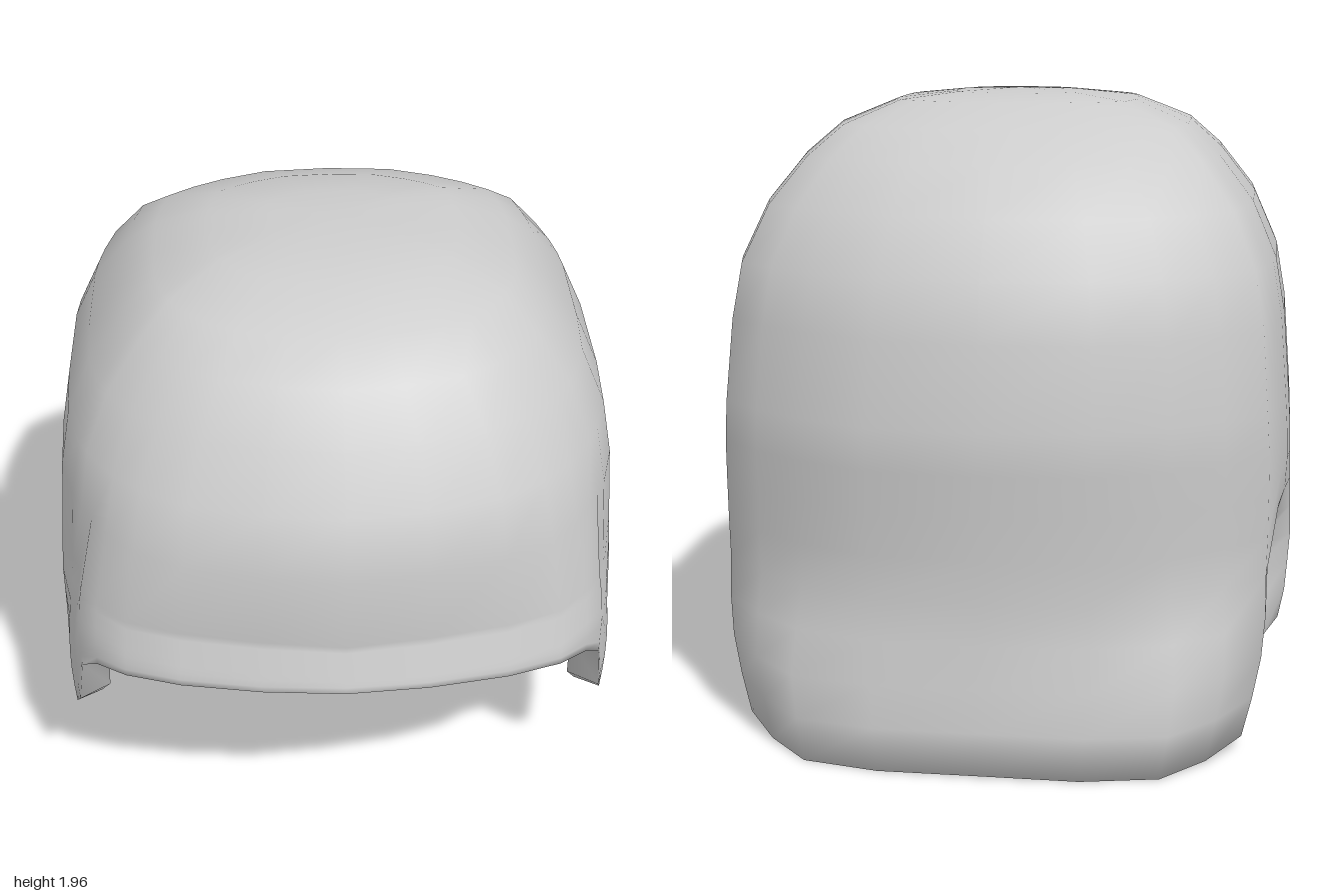
import * as THREE from 'three';

const shellGrey = new THREE.MeshStandardMaterial({ color: 0xcccccc, side: THREE.DoubleSide });
shellGrey.name = 'shell grey';

// Height profile: y, half width, reach forward, reach back
const profile = [
  [0.00, 0.79, 0.98, 0.98], [0.20, 0.84, 0.98, 0.97], [0.40, 0.88, 0.99, 0.95],
  [0.60, 0.895, 1.00, 0.95], [0.91, 0.895, 1.00, 0.97], [1.05, 0.885, 0.955, 0.98],
  [1.30, 0.865, 0.97, 0.935], [1.47, 0.835, 0.90, 0.90], [1.64, 0.76, 0.80, 0.79],
  [1.78, 0.65, 0.70, 0.66], [1.87, 0.55, 0.57, 0.50], [1.94, 0.38, 0.38, 0.32],
  [1.96, 0.20, 0.20, 0.17],
];

// Columns from brow centre round one side to nape centre:
// plan x, plan z, rim height, inward curl of the rim, swell near the rim, pocket depth behind the ear
const half = [
  [0, 1, 0.91, 0.01, 1, 0], [0.28, 0.965, 0.895, 0.01, 1, 0], [0.54, 0.90, 0.885, 0.01, 1.015, 0],
  [0.70, 0.81, 0.875, 0.02, 1.05, 0], [0.80, 0.72, 0.84, 0.05, 1.05, 0], [0.86, 0.645, 0.77, 0.10, 1.05, 0],
  [0.90, 0.58, 0.56, 0.11, 1.04, 0], [0.935, 0.52, 0.49, 0.09, 1.03, 0], [0.985, 0.35, 0.43, 0.05, 1, 0],
  [1, 0.10, 0.385, 0.04, 1, 0], [1, -0.15, 0.34, 0.04, 1, 0], [1, -0.30, 0.31, 0.03, 1.01, 0],
  [0.99, -0.40, 0.28, 0.03, 0.99, 0.11], [0.97, -0.51, 0.22, 0.03, 0.98, 0.07],
  [0.93, -0.66, 0.05, 0.06, 1.03, 0],
  [0.79, -0.77, 0.02, 0.09, 1.06, 0], [0.62, -0.87, 0.01, 0.10, 1.09, 0],
  [0.37, -0.97, 0.01, 0.10, 1.03, 0], [0, -1, 0.015, 0.10, 1.01, 0],
];
const columns = [...half, ...half.slice(1, -1).reverse().map(([x, ...rest]) => [-x, ...rest])];

function sizeAt(y) {
  let i = 0;
  while (i < profile.length - 2 && profile[i + 1][0] < y) i++;
  const t = THREE.MathUtils.clamp((y - profile[i][0]) / (profile[i + 1][0] - profile[i][0]), 0, 1);
  return profile[i].map((v, k) => THREE.MathUtils.lerp(v, profile[i + 1][k], t));
}

function shellPoint([px, pz, rim, , swell, pocket], y, shrink = 1) {
  const [, wide, front, back] = sizeAt(y);
  const low = 1 - THREE.MathUtils.smoothstep(y, rim + 0.2, rim + 0.55);
  const s = shrink * (1 + (swell - 1) * low);
  const dent = pocket * Math.exp(-(((y - 0.5) / 0.15) ** 2));
  return [px * wide * (s - dent), y, pz * (pz > 0 ? front : back) * s];
}

function createShell() {
  const pos = [], index = [], n = columns.length, rimRows = 8, join = 1.05;
  // Curled lip, then rows following the rim up to the brow line
  columns.forEach((c) => pos.push(...shellPoint(c, c[2], 1 - c[3])));
  for (let r = 0; r < rimRows; r++) {
    columns.forEach((c) => pos.push(...shellPoint(c, THREE.MathUtils.lerp(c[2], join, r / rimRows))));
  }
  // Level rings of the dome
  const dome = profile.filter((p) => p[0] >= join);
  dome.forEach(([y]) => columns.forEach((c) => pos.push(...shellPoint(c, y))));
  pos.push(0, 1.97, 0);

  const rows = 1 + rimRows + dome.length;
  for (let r = 0; r < rows; r++) {
    for (let i = 0; i < n; i++) {
      const a = r * n + i, b = r * n + (i + 1) % n;
      if (r === rows - 1) index.push(a, b, rows * n);
      else index.push(a, b, b + n, a, b + n, a + n);
    }
  }
  const g = new THREE.BufferGeometry();
  g.setAttribute('position', new THREE.Float32BufferAttribute(pos, 3));
  g.setIndex(index);
  g.computeVertexNormals();
  return g;
}

export function createModel() {
  const group = new THREE.Group();
  group.name = 'hairCap';
  const shell = new THREE.Mesh(createShell(), shellGrey);
  shell.name = 'hairShell';
  group.add(shell);
  return group;
}
